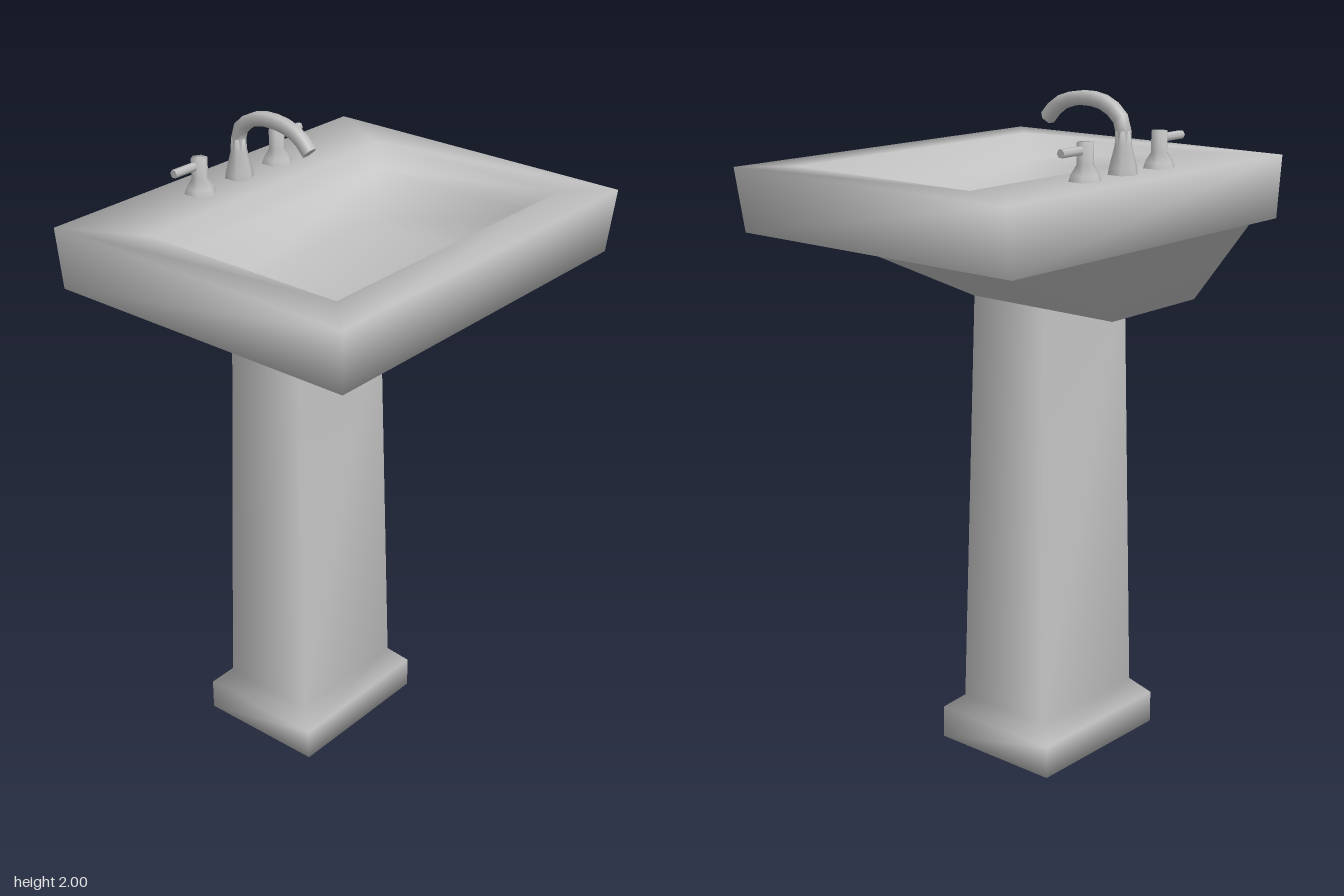
import * as THREE from 'three';

// Smooth closed shell through rectangular rings: [y, halfWidth, zBack, zFront]
function loftRings(rings) {
  const positions = [], index = [];
  for (const [y, w, zb, zf] of rings) {
    positions.push(-w, y, zf, w, y, zf, w, y, zb, -w, y, zb);
  }
  for (let r = 0; r < rings.length - 1; r++) {
    for (let i = 0; i < 4; i++) {
      const a = r * 4 + i, b = r * 4 + (i + 1) % 4;
      index.push(a, b, b + 4, a, b + 4, a + 4);
    }
  }
  const t = (rings.length - 1) * 4;
  index.push(0, 2, 1, 0, 3, 2, t, t + 1, t + 2, t, t + 2, t + 3);
  const geometry = new THREE.BufferGeometry();
  geometry.setAttribute('position', new THREE.Float32BufferAttribute(positions, 3));
  geometry.setIndex(index);
  geometry.computeVertexNormals();
  return geometry;
}

// Six-sided turned body
function turned(profile) {
  return new THREE.LatheGeometry(profile.map(([r, y]) => new THREE.Vector2(r, y)), 6);
}

export function createModel() {
  const model = new THREE.Group();
  const porcelain = new THREE.MeshStandardMaterial({ color: 0xc0c0c0 });
  porcelain.name = 'greyPorcelain';

  const add = (name, geometry, parent = model) => {
    const mesh = new THREE.Mesh(geometry, porcelain);
    mesh.name = name;
    parent.add(mesh);
    return mesh;
  };

  // Pedestal with its stepped foot
  add('pedestal', loftRings([
    [0, 0.255, -0.35, 0.07],
    [0.1, 0.255, -0.35, 0.07],
    [0.145, 0.215, -0.295, 0.015],
    [1.42, 0.188, -0.27, -0.01],
  ]));

  // Basin: funnel underside, rim, deck and recessed bowl
  add('basin', loftRings([
    [1.41, 0.19, -0.52, -0.01],
    [1.59, 0.46, -0.52, 0.36],
    [1.59, 0.605, -0.52, 0.503],
    [1.78, 0.625, -0.52, 0.52],
    [1.78, 0.5, -0.28, 0.395],
    [1.7, 0.49, -0.27, 0.385],
    [1.61, 0.3, -0.14, 0.26],
  ]));

  // Spout: flared foot and bent tube
  const spout = new THREE.Group();
  spout.name = 'spout';
  model.add(spout);
  add('spoutFoot', turned([
    [0.046, 1.775], [0.042, 1.8], [0.026, 1.86], [0.023, 1.9], [0, 1.9],
  ]), spout).position.z = -0.4;

  const path = new THREE.CatmullRomCurve3([
    [1.86, -0.4], [1.92, -0.396], [1.955, -0.365], [1.977, -0.315],
    [1.978, -0.23], [1.955, -0.165], [1.915, -0.125],
  ].map(([y, z]) => new THREE.Vector3(0, y, z)));
  add('spoutTube', new THREE.TubeGeometry(path, 10, 0.023, 6), spout);
  const tip = add('spoutTip', new THREE.CircleGeometry(0.023, 6), spout);
  tip.position.copy(path.getPoint(1));
  tip.lookAt(path.getPoint(1).add(path.getTangent(1)));

  // Pair of tap handles with outward levers
  for (const side of [-1, 1]) {
    const tap = new THREE.Group();
    tap.name = side > 0 ? 'leftTap' : 'rightTap';
    tap.position.set(side * 0.167, 0, -0.4);
    add('tapBody', turned([
      [0.05, 1.775], [0.043, 1.798], [0.025, 1.825], [0.025, 1.885], [0, 1.885],
    ]), tap);
    const lever = add('tapLever', new THREE.CylinderGeometry(0.013, 0.013, 0.105, 6), tap);
    lever.rotation.z = Math.PI / 2;
    lever.position.set(side * 0.0525, 1.864, 0);
    model.add(tap);
  }

  return model;
}
